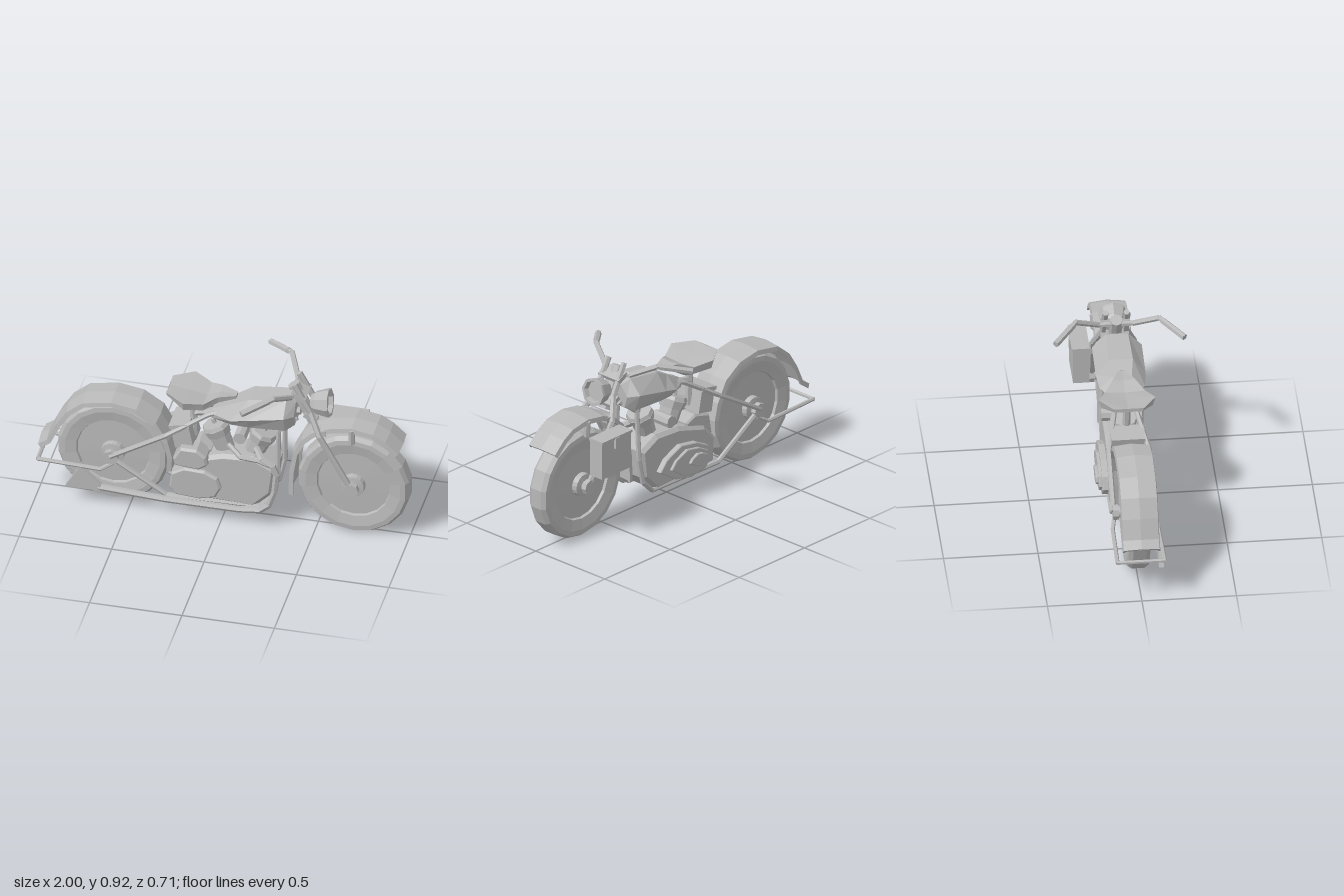
import * as THREE from 'three';

const grey = new THREE.MeshStandardMaterial({ color: 0xb8b8b8, flatShading: true, side: THREE.DoubleSide });
grey.name = 'plain grey';
const V = (p) => new THREE.Vector3(...p);
const flipZ = (pts) => pts.map(([x, y, z]) => [x, y, -z]);

export function createModel() {
  const bike = new THREE.Group();
  bike.name = 'motorcycle';

  const add = (name, geo, pos = [0, 0, 0], rotZ = 0) => {
    const m = new THREE.Mesh(geo, grey);
    m.name = name;
    m.position.set(...pos);
    m.rotation.z = rotZ;
    bike.add(m);
    return m;
  };

  // Bent tube made of straight pieces between points
  const tube = (name, pts, r, sides = 6) => {
    const g = new THREE.Group();
    g.name = name;
    for (let i = 0; i < pts.length - 1; i++) {
      const a = V(pts[i]), b = V(pts[i + 1]), d = b.clone().sub(a);
      const m = new THREE.Mesh(new THREE.CylinderGeometry(r, r, d.length() + r * 0.5, sides), grey);
      m.name = name + 'Piece';
      m.position.copy(a).add(b).multiplyScalar(0.5);
      m.quaternion.setFromUnitVectors(new THREE.Vector3(0, 1, 0), d.normalize());
      g.add(m);
    }
    bike.add(g);
  };
  const tubePair = (name, pts, r, sides) => {
    tube(name + 'Left', pts, r, sides);
    tube(name + 'Right', flipZ(pts), r, sides);
  };

  // Solid skin over a row of matching cross-sections, capped at both ends
  const loft = (name, rings) => {
    const n = rings[0].length, idx = [];
    for (let i = 0; i < rings.length - 1; i++) {
      for (let j = 0; j < n; j++) {
        const a = i * n + j, b = i * n + (j + 1) % n;
        idx.push(a, b, a + n, b, b + n, a + n);
      }
    }
    const last = (rings.length - 1) * n;
    for (let j = 0; j < n / 2 - 1; j++) {
      const k = n - 1 - j;
      for (const o of [0, last]) idx.push(o + j, o + j + 1, o + k, o + j + 1, o + k - 1, o + k);
    }
    const g = new THREE.BufferGeometry();
    g.setAttribute('position', new THREE.Float32BufferAttribute(rings.flat(2), 3));
    g.setIndex(idx);
    g.computeVertexNormals();
    return add(name, g);
  };

  // Side-profile plate from z0 to z1
  const plate = (name, pts, z0, z1, bevel = 0) => {
    const s = new THREE.Shape(pts.map(([x, y]) => new THREE.Vector2(x, y)));
    const g = new THREE.ExtrudeGeometry(s, {
      depth: z1 - z0 - 2 * bevel, bevelEnabled: bevel > 0, bevelSize: bevel,
      bevelThickness: bevel, bevelOffset: -bevel, bevelSegments: 1,
    });
    return add(name, g, [0, 0, z0 + bevel]);
  };

  // Wheels: chamfered tyre, recessed disc, stepped hub
  const profile = [[0, 0.09], [0.03, 0.09], [0.03, 0.075], [0.062, 0.07], [0.065, 0.04], [0.195, 0.036],
    [0.2, 0.05], [0.26, 0.06], [0.287, 0.057], [0.303, 0.034]];
  const full = [...profile, ...profile.map(([r, z]) => [r, -z]).reverse()].map(([r, z]) => new THREE.Vector2(r, z));
  for (const [name, x] of [['rearWheel', -0.6], ['frontWheel', 0.7]]) {
    add(name, new THREE.LatheGeometry(full, 18).rotateX(Math.PI / 2), [x, 0.305, 0]);
    for (const s of [1, -1]) {
      add(name + 'AxleNut', new THREE.CylinderGeometry(0.042, 0.042, 0.03, 8).rotateX(Math.PI / 2), [x, 0.305, s * 0.1]);
    }
  }

  // Mudguards: crowned shell swept along the wheel
  const guard = (name, path) => {
    const sec = [[-0.1, -0.035], [-0.095, -0.01], [0, 0], [0.095, -0.01], [0.1, -0.035],
      [0.088, -0.035], [0.083, -0.022], [0, -0.014], [-0.083, -0.022], [-0.088, -0.035]];
    loft(name, path.map(([x, y], i) => {
      const p = path[Math.max(i - 1, 0)], q = path[Math.min(i + 1, path.length - 1)];
      const dx = q[0] - p[0], dy = q[1] - p[1], l = Math.hypot(dx, dy);
      return sec.map(([z, o]) => [x - dy / l * o, y + dx / l * o, z]);
    }));
  };
  guard('rearMudguard', [[-1, 0.33], [-0.955, 0.36], [-0.91, 0.46], [-0.85, 0.555], [-0.76, 0.63], [-0.6, 0.66],
    [-0.46, 0.637], [-0.35, 0.565], [-0.285, 0.45], [-0.26, 0.35], [-0.265, 0.26]]);
  guard('frontMudguard', [[0.35, 0.22], [0.353, 0.36], [0.375, 0.49], [0.42, 0.58], [0.48, 0.64], [0.58, 0.685],
    [0.7, 0.705], [0.82, 0.685], [0.89, 0.645], [0.96, 0.58]]);

  // Fuel tank: x, three heights, three half widths
  loft('fuelTank', [
    [-0.07, 0.65, 0.635, 0.605, 0.02, 0.045, 0.04],
    [0.05, 0.72, 0.655, 0.605, 0.05, 0.12, 0.08],
    [0.14, 0.77, 0.68, 0.61, 0.065, 0.132, 0.09],
    [0.34, 0.797, 0.72, 0.62, 0.06, 0.132, 0.09],
    [0.385, 0.77, 0.71, 0.645, 0.035, 0.08, 0.06],
  ].map(([x, t, m, b, wt, wm, wb]) => [
    [x, t, wt], [x, m, wm], [x, b, wb], [x, b, -wb], [x, m, -wm], [x, t, -wt]]));

  // Saddle: x, edge height, middle height, underside, half width
  loft('saddle', [
    [-0.305, 0.755, 0.75, 0.735, 0.08], [-0.2, 0.75, 0.735, 0.67, 0.152], [-0.1, 0.727, 0.72, 0.66, 0.105],
    [-0.03, 0.755, 0.75, 0.7, 0.06], [0.06, 0.752, 0.75, 0.738, 0.022],
  ].map(([x, e, m, b, w]) => [
    [x, m, 0], [x, e, w], [x, (e + b) / 2 - 0.01, w * 0.9], [x, b, w * 0.4],
    [x, b, -w * 0.4], [x, (e + b) / 2 - 0.01, -w * 0.9], [x, e, -w], [x, m, -0.002]]));
  tube('saddlePost', [[-0.18, 0.69, 0], [-0.17, 0.46, 0]], 0.02);

  // Frame tubes
  tube('backbone', [[-0.16, 0.6, 0], [0.02, 0.64, 0], [0.4, 0.7, 0]], 0.02);
  tube('steeringHead', [[0.37, 0.86, 0], [0.47, 0.66, 0]], 0.034, 8);
  tubePair('rearStay', [[-0.6, 0.315, 0.11], [-0.3, 0.495, 0.105], [-0.08, 0.63, 0.05], [0.02, 0.66, 0.03]], 0.014);
  tubePair('cradle', [[0.39, 0.67, 0.03], [0.3, 0.6, 0.07], [0.3, 0.32, 0.085], [0.27, 0.18, 0.085], [0.2, 0.11, 0.085],
    [-0.3, 0.105, 0.09], [-0.6, 0.305, 0.1]], 0.014);
  tube('rearStand', [[-0.59, 0.27, 0.105], [-0.65, 0.232, 0.12], [-0.99, 0.245, 0.122], [-0.99, 0.245, -0.128],
    [-0.65, 0.232, -0.12], [-0.59, 0.27, -0.105]], 0.011);

  // Crankcase and side covers
  plate('crankcase', [[-0.27, 0.12], [0.17, 0.1], [0.27, 0.2], [0.29, 0.36], [0.17, 0.42], [0, 0.41],
    [-0.2, 0.35], [-0.28, 0.26]], -0.098, 0.098, 0.02);
  plate('primaryCover', [[-0.28, 0.18], [-0.25, 0.135], [-0.12, 0.125], [-0.03, 0.15], [0, 0.21], [-0.02, 0.27],
    [-0.09, 0.305], [-0.2, 0.31], [-0.27, 0.27]], 0.09, 0.123, 0.01);
  plate('gearboxCover', [[-0.26, 0.37], [-0.25, 0.325], [-0.12, 0.315], [-0.07, 0.35], [-0.08, 0.4], [-0.13, 0.44],
    [-0.22, 0.44]], 0.02, 0.13, 0.012);
  plate('gearbox', [[-0.27, 0.28], [-0.08, 0.3], [-0.07, 0.4], [-0.14, 0.43], [-0.25, 0.4]], -0.08, 0.05, 0.01);
  const drop = [[-1, -0.25], [-0.72, -0.85], [-0.2, -1], [0.4, -0.75], [1, 0], [0.75, 0.55], [0.2, 1], [-0.4, 0.8], [-0.85, 0.35]];
  [[-0.02, 0.215, 0.2, 0.105, 0.13], [-0.04, 0.21, 0.15, 0.08, 0.145], [-0.09, 0.21, 0.07, 0.04, 0.16]]
    .forEach(([x, y, rx, ry, z]) => plate('timingCover', drop.map(([a, b]) => [x + a * rx, y + b * ry]), -z, -0.08, 0.004));

  // Two angled cylinders with finned barrels and caps
  for (const [x, tilt] of [[0.005, 0.38], [0.145, -0.38]]) {
    const at = (d) => [x - Math.sin(tilt) * d, 0.38 + Math.cos(tilt) * d, 0];
    add('cylinderBarrel', new THREE.CylinderGeometry(0.062, 0.05, 0.15, 8), at(0.065), tilt);
    add('cylinderFin', new THREE.CylinderGeometry(0.076, 0.066, 0.045, 8), at(0.135), tilt);
    add('cylinderHead', new THREE.CylinderGeometry(0.068, 0.076, 0.02, 8), at(0.17), tilt);
    add('sparkPlug', new THREE.CylinderGeometry(0.012, 0.012, 0.03, 6), at(0.19), tilt);
  }
  add('oilTank', new THREE.BoxGeometry(0.1, 0.13, 0.17), [-0.22, 0.485, 0], 0.2);
  add('oilTankCap', new THREE.BoxGeometry(0.11, 0.02, 0.18), [-0.235, 0.55, 0], 0.2);
  add('carburettor', new THREE.CylinderGeometry(0.035, 0.035, 0.12, 8).rotateX(Math.PI / 2), [0.075, 0.47, -0.05]);

  // Exhaust with a flared tail
  tube('exhaustPipe', [[0.18, 0.46, 0.06], [0.22, 0.43, 0.11], [0.28, 0.4, 0.118], [0.3, 0.35, 0.118], [0.29, 0.24, 0.118],
    [0.26, 0.15, 0.118], [0.21, 0.108, 0.118], [0.1, 0.095, 0.118], [-0.3, 0.095, 0.118], [-0.66, 0.115, 0.118]], 0.018, 6);
  tube('rearExhaust', [[0.03, 0.46, 0.06], [0.1, 0.42, 0.1], [0.2, 0.42, 0.11], [0.27, 0.4, 0.116]], 0.015);
  plate('exhaustTail', [[-0.84, 0.1], [-0.65, 0.098], [-0.65, 0.135], [-0.76, 0.235]], 0.106, 0.132);

  // Front fork and stays
  tubePair('forkLeg', [[0.385, 0.9, 0.056], [0.47, 0.74, 0.06], [0.53, 0.625, 0.108], [0.7, 0.305, 0.098]], 0.017);
  for (const [x, y] of [[0.41, 0.83], [0.47, 0.71]]) add('forkClamp', new THREE.BoxGeometry(0.07, 0.025, 0.15), [x, y, 0], -0.48);
  tubePair('mudguardStay', [[0.7, 0.68, 0.09], [0.7, 0.6, 0.085]], 0.018);
  add('forkBridge', new THREE.BoxGeometry(0.04, 0.03, 0.2), [0.54, 0.64, 0]);

  // Handlebar
  const half = [[0.37, 0.84, 0], [0.37, 0.84, 0.09], [0.305, 0.908, 0.22], [0.165, 0.873, 0.338]];
  tubePair('handlebar', half, 0.015);
  tubePair('handGrip', [[0.28, 0.902, 0.241], [0.165, 0.873, 0.338]], 0.018);

  // Headlamp with a recessed face
  const lamp = [[0, 0], [0.045, 0], [0.062, 0.025], [0.078, 0.085], [0.078, 0.1], [0.062, 0.1], [0.055, 0.075], [0, 0.075]];
  add('headlamp', new THREE.LatheGeometry(lamp.map(([r, h]) => new THREE.Vector2(r, h)), 8), [0.465, 0.765, 0], -Math.PI / 2 + 0.12);

  // Side box with lid and strap on the right
  add('sideBox', new THREE.BoxGeometry(0.22, 0.21, 0.087), [0.61, 0.495, -0.172]);
  add('sideBoxLid', new THREE.BoxGeometry(0.23, 0.014, 0.096), [0.61, 0.601, -0.175]);
  add('sideBoxStrap', new THREE.BoxGeometry(0.035, 0.06, 0.012), [0.61, 0.572, -0.221]);
  add('sideBoxBracket', new THREE.BoxGeometry(0.06, 0.03, 0.05), [0.57, 0.56, -0.115]);

  return bike;
}
